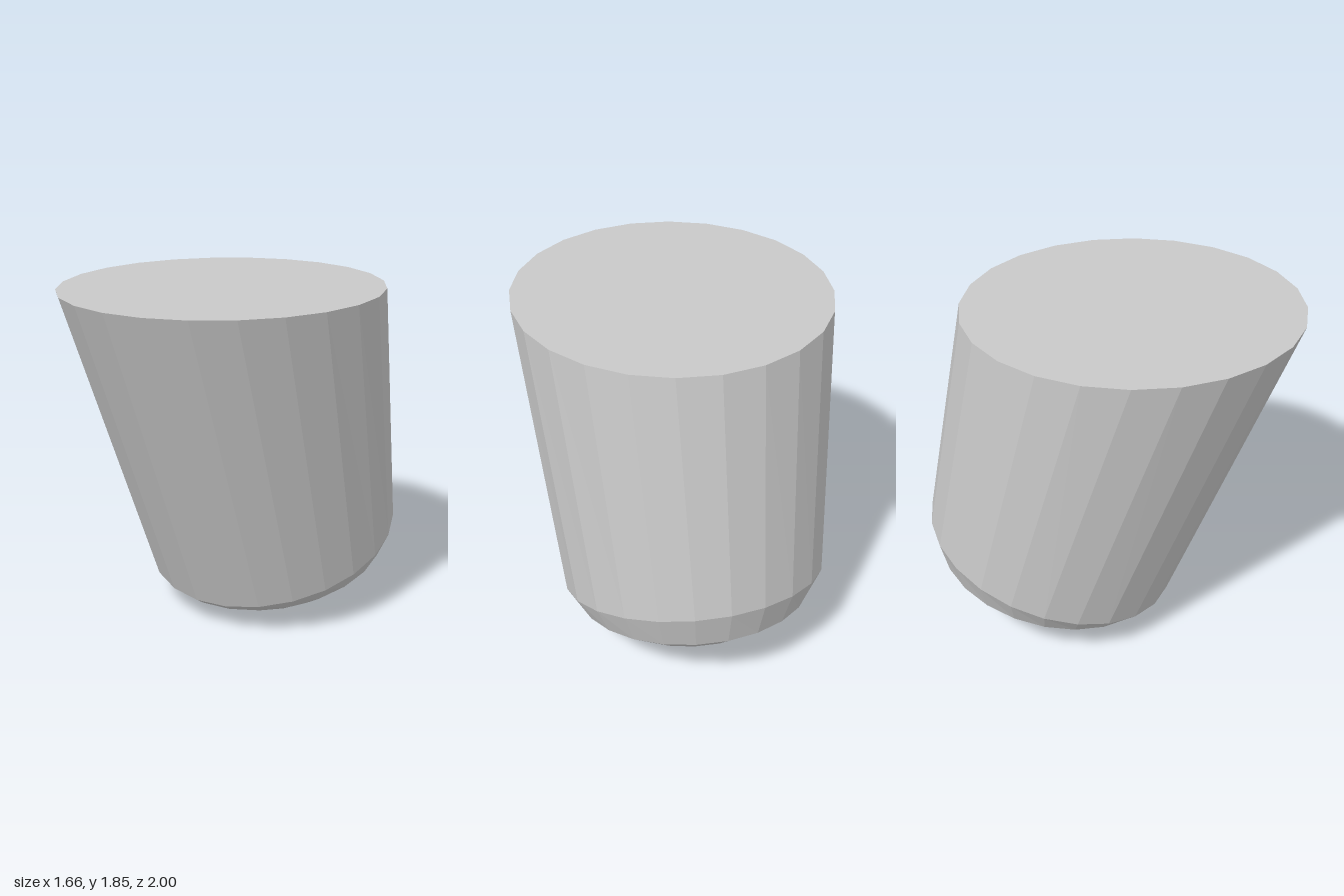
import * as THREE from 'three';

const SIDES = 24;

// Each ring is a tilted ellipse: [front z, front y, back z, back y, half width]
const RINGS = [
  [1.0, 1.853, -0.76, 1.853, 0.83],
  [0.355, 0.15, -1.0, 0.6, 0.71],
  [0.3, 0.112, -0.958, 0.395, 0.64],
  [0.19, 0.062, -0.81, 0.24, 0.51],
  [0.03, 0.016, -0.66, 0.14, 0.36],
  [-0.17, 0.003, -0.61, 0.122, 0.225],
];

function ringPoint([fz, fy, bz, by, w], i) {
  const a = (i / SIDES) * Math.PI * 2;
  const c = Math.cos(a);
  return [
    w * Math.sin(a),
    (fy + by) / 2 + (c * (fy - by)) / 2,
    (fz + bz) / 2 + (c * (fz - bz)) / 2,
  ];
}

function buildGeometry(positions) {
  const geometry = new THREE.BufferGeometry();
  geometry.setAttribute('position', new THREE.Float32BufferAttribute(positions, 3));
  geometry.computeVertexNormals();
  return geometry;
}

// Walls joining consecutive rings, listed from the top down
function loft(rings) {
  const p = [];
  for (let r = 0; r < rings.length - 1; r++) {
    for (let i = 0; i < SIDES; i++) {
      const a = ringPoint(rings[r], i), b = ringPoint(rings[r], i + 1);
      const c = ringPoint(rings[r + 1], i), d = ringPoint(rings[r + 1], i + 1);
      p.push(...a, ...c, ...d, ...a, ...d, ...b);
    }
  }
  return buildGeometry(p);
}

// Flat disc closing a ring, facing up or down
function cap(ring, up) {
  const [fz, fy, bz, by] = ring;
  const centre = [0, (fy + by) / 2, (fz + bz) / 2];
  const p = [];
  for (let i = 0; i < SIDES; i++) {
    const a = ringPoint(ring, i), b = ringPoint(ring, i + 1);
    p.push(...centre, ...(up ? a : b), ...(up ? b : a));
  }
  return buildGeometry(p);
}

export function createModel() {
  const model = new THREE.Group();
  model.name = 'leaningStump';
  const grey = new THREE.MeshStandardMaterial({ color: 0xc8c8c8, flatShading: true });
  grey.name = 'light grey';

  const add = (name, geometry) => {
    const mesh = new THREE.Mesh(geometry, grey);
    mesh.name = name;
    model.add(mesh);
  };

  add('taperedBody', loft(RINGS.slice(0, 2)));
  add('roundedBase', loft(RINGS.slice(1)));
  add('flatTop', cap(RINGS[0], true));
  add('flatBottom', cap(RINGS[RINGS.length - 1], false));
  return model;
}
